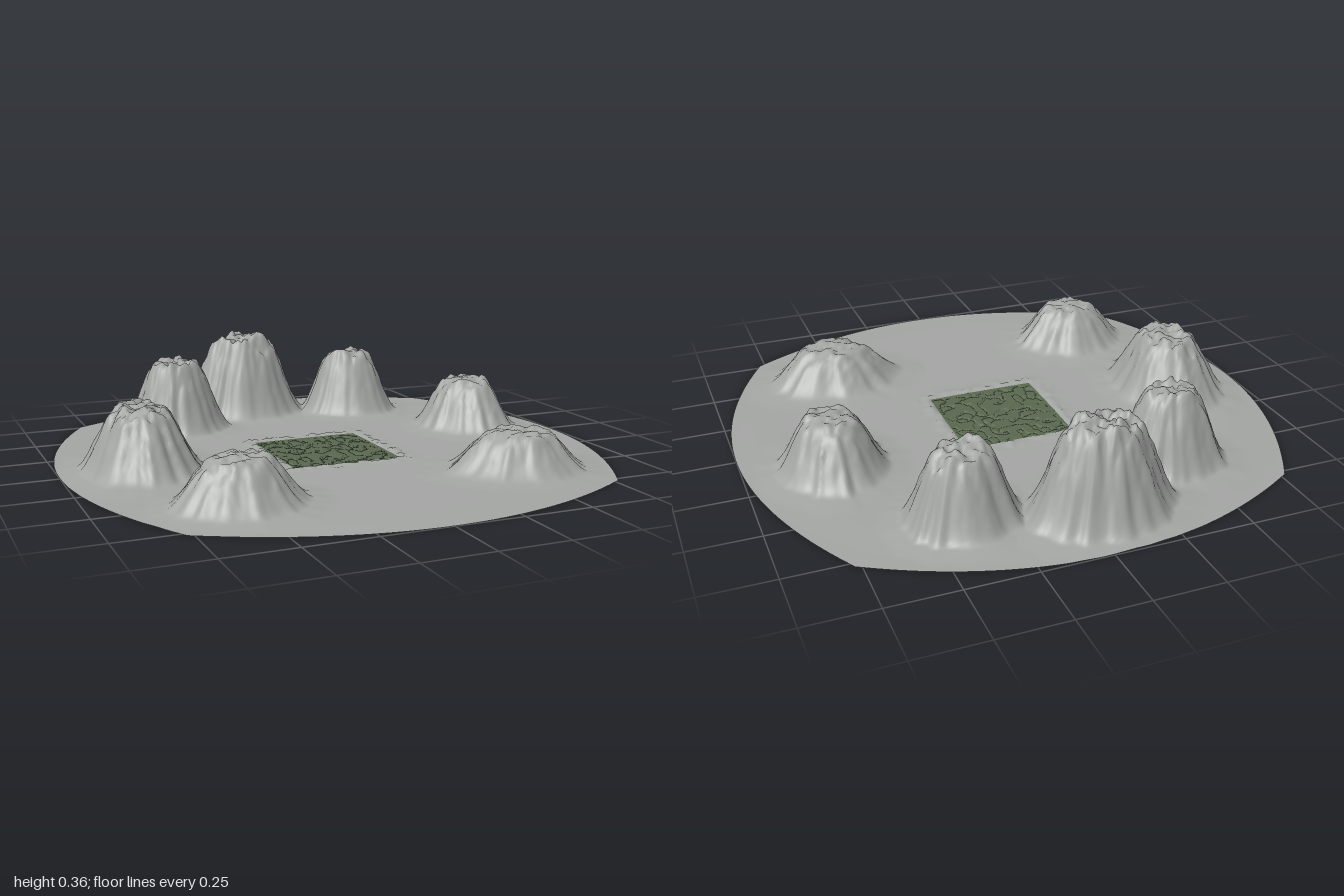
import * as THREE from 'three';

const PATCH = 0.21; // half width of the central green square

// Hills: centre x, z, radii x, z, height
const HILLS = [
  [-0.07, -0.75, 0.25, 0.2, 0.315],
  [-0.43, -0.54, 0.21, 0.175, 0.265],
  [0.375, -0.63, 0.2, 0.18, 0.25],
  [-0.71, 0.0, 0.21, 0.28, 0.215],
  [0.69, -0.16, 0.185, 0.225, 0.185],
  [-0.535, 0.555, 0.225, 0.2, 0.148],
  [0.515, 0.53, 0.25, 0.2, 0.13],
];

// Smooth seeded value noise in -1..1
function hash(i, j, k) {
  const s = Math.sin(i * 127.1 + j * 311.7 + k * 74.7) * 43758.5453;
  return (s - Math.floor(s)) * 2 - 1;
}
function noise(x, y, seed) {
  const i = Math.floor(x), j = Math.floor(y);
  const f = x - i, g = y - j;
  const u = f * f * (3 - 2 * f), v = g * g * (3 - 2 * g);
  const lerp = THREE.MathUtils.lerp;
  return lerp(
    lerp(hash(i, j, seed), hash(i + 1, j, seed), u),
    lerp(hash(i, j + 1, seed), hash(i + 1, j + 1, seed), u), v);
}

// Steep-sided hill with radial gullies and a jagged crown
function hillHeight([cx, cz, rx, rz, h], x, z, seed) {
  const dx = (x - cx) / rx, dz = (z - cz) / rz;
  let r = Math.hypot(dx, dz);
  if (r > 1.5) return 0;
  const c = r > 0 ? dx / r : 1, s = r > 0 ? dz / r : 0;
  const gully = noise(c * 6 + 20, s * 6 + 20, seed) * 0.6 + noise(c * 3 + 9, s * 3 + 9, seed + 3) * 0.4;
  r *= 1 + 0.1 * gully * Math.min(1, r * 1.5);
  const body = 1 - THREE.MathUtils.smoothstep(r, 0.35, 1.08);
  const rough = noise(x * 30, z * 30, seed + 5) * 0.07 + noise(x * 62, z * 62, seed + 7) * 0.05;
  const skirt = 0.012 * (1 - THREE.MathUtils.smoothstep(r, 0.8, 1.5));
  return h * body * (1 + rough) + skirt;
}

function groundHeight(x, z) {
  let y = 0;
  HILLS.forEach((hill, n) => { y = Math.max(y, hillHeight(hill, x, z, n * 11 + 1)); });
  // Creased rim around the square
  const ox = Math.max(0, Math.abs(x) - PATCH), oz = Math.max(0, Math.abs(z) - PATCH);
  const d = Math.hypot(ox, oz);
  const rim = Math.exp(-((d / 0.045) ** 2)) * Math.min(1, d / 0.015);
  y += rim * (0.006 + 0.007 * noise(x * 45, z * 45, 91));
  // Ground eases down to the outer edge
  const edge = THREE.MathUtils.smoothstep(Math.hypot(x, z), 0.85, 1.05);
  return y + 0.006 * (1 - edge);
}

// Winding grooves as a two-level relief
function patchHeight(x, z) {
  if (Math.max(Math.abs(x), Math.abs(z)) > PATCH - 0.008) return 0.006;
  const n = noise(x * 34 + 50, z * 34 + 50, 123);
  return Math.abs(n) < 0.14 ? 0.002 : 0.006;
}

// Square grid bowed outward into a four-cornered disc
function sheet(half, cells, height, keep) {
  const positions = [], index = [];
  const row = cells + 1;
  for (let j = 0; j <= cells; j++) {
    for (let i = 0; i <= cells; i++) {
      const u = half * (2 * i / cells - 1), v = half * (2 * j / cells - 1);
      const x = u * (1 - 0.23 * v * v), z = v * (1 - 0.23 * u * u);
      positions.push(x, height(x, z), z);
      if (i === cells || j === cells) continue;
      const mid = half / cells;
      if (!keep(u + mid, v + mid)) continue;
      const a = j * row + i, b = a + row;
      index.push(a, b, a + 1, a + 1, b, b + 1);
    }
  }
  const geometry = new THREE.BufferGeometry();
  geometry.setAttribute('position', new THREE.Float32BufferAttribute(positions, 3));
  geometry.setIndex(index);
  geometry.computeVertexNormals();
  return geometry;
}

export function createModel() {
  const model = new THREE.Group();
  model.name = 'hillTerrain';

  const rock = new THREE.MeshStandardMaterial({ color: 0xa3a5a3, side: THREE.DoubleSide });
  rock.name = 'grey rock';
  const moss = new THREE.MeshStandardMaterial({ color: 0x59684f, side: THREE.DoubleSide });
  moss.name = 'dark green';

  // Ground and hills, with a square opening in the middle
  const ground = new THREE.Mesh(
    sheet(1, 200, groundHeight, (u, v) => Math.max(Math.abs(u), Math.abs(v)) > PATCH), rock);
  ground.name = 'groundWithHills';

  // Grooved green square filling the opening
  const square = new THREE.Mesh(sheet(PATCH, 126, patchHeight, () => true), moss);
  square.name = 'greenSquare';

  model.add(ground, square);
  return model;
}
